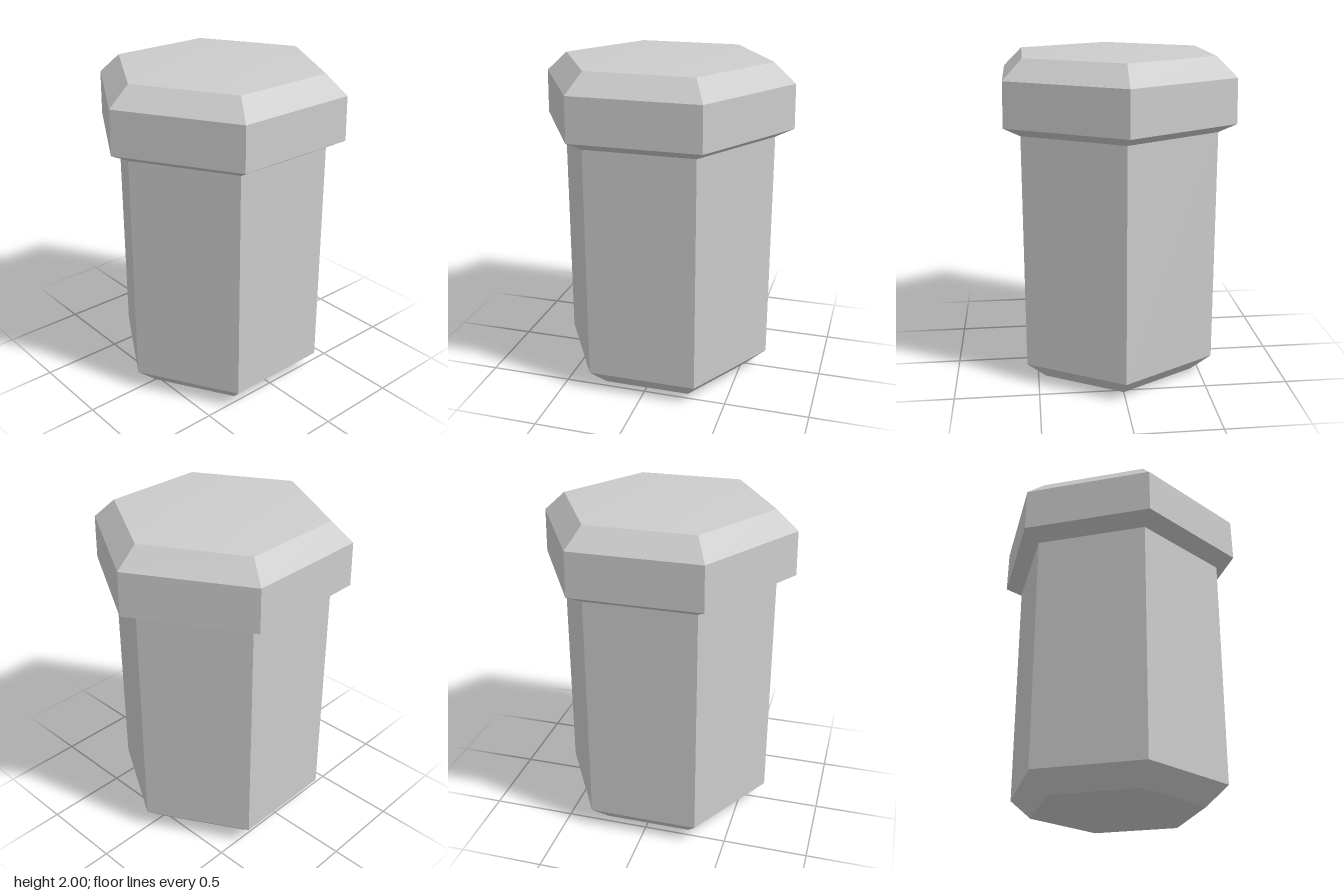
import * as THREE from 'three';
import { mergeVertices } from 'three/addons/utils/BufferGeometryUtils.js';

export function createModel() {
  const model = new THREE.Group();
  model.name = 'hexagonalBolt';
  const steel = new THREE.MeshStandardMaterial({ color: 0xcccccc, flatShading: true });
  steel.name = 'steel grey';
  const smoothSteel = steel.clone();
  smoothSteel.flatShading = false;

  // One six-sided band between two heights, with corners on the x axis
  function band(name, r0, y0, r1, y1, smooth = false) {
    let geo = new THREE.CylinderGeometry(r1, r0, y1 - y0, 6, 1, true, Math.PI / 6);
    if (smooth) {
      // Weld the corners so the shading flows across the facets
      geo.deleteAttribute('normal');
      geo.deleteAttribute('uv');
      geo = mergeVertices(geo, 1e-4);
      geo.computeVertexNormals();
    }
    const mesh = new THREE.Mesh(geo, smooth ? smoothSteel : steel);
    mesh.position.y = (y0 + y1) / 2;
    mesh.name = name;
    model.add(mesh);
  }

  // Shaft
  band('shaftBottomBevel', 0.525, 0, 0.655, 0.115);
  band('shaft', 0.655, 0.115, 0.655, 1.525);

  // Head
  band('headUnderside', 0.655, 1.525, 0.765, 1.58, true);
  band('headSides', 0.765, 1.58, 0.76, 1.842);
  band('headTopBevel', 0.76, 1.842, 0.632, 1.958);
  band('headCrown', 0.632, 1.958, 0, 2, true);

  // Flat bottom face
  const base = new THREE.Mesh(new THREE.CircleGeometry(0.525, 6), steel);
  base.rotation.x = Math.PI / 2;
  base.name = 'shaftBase';
  model.add(base);

  return model;
}
